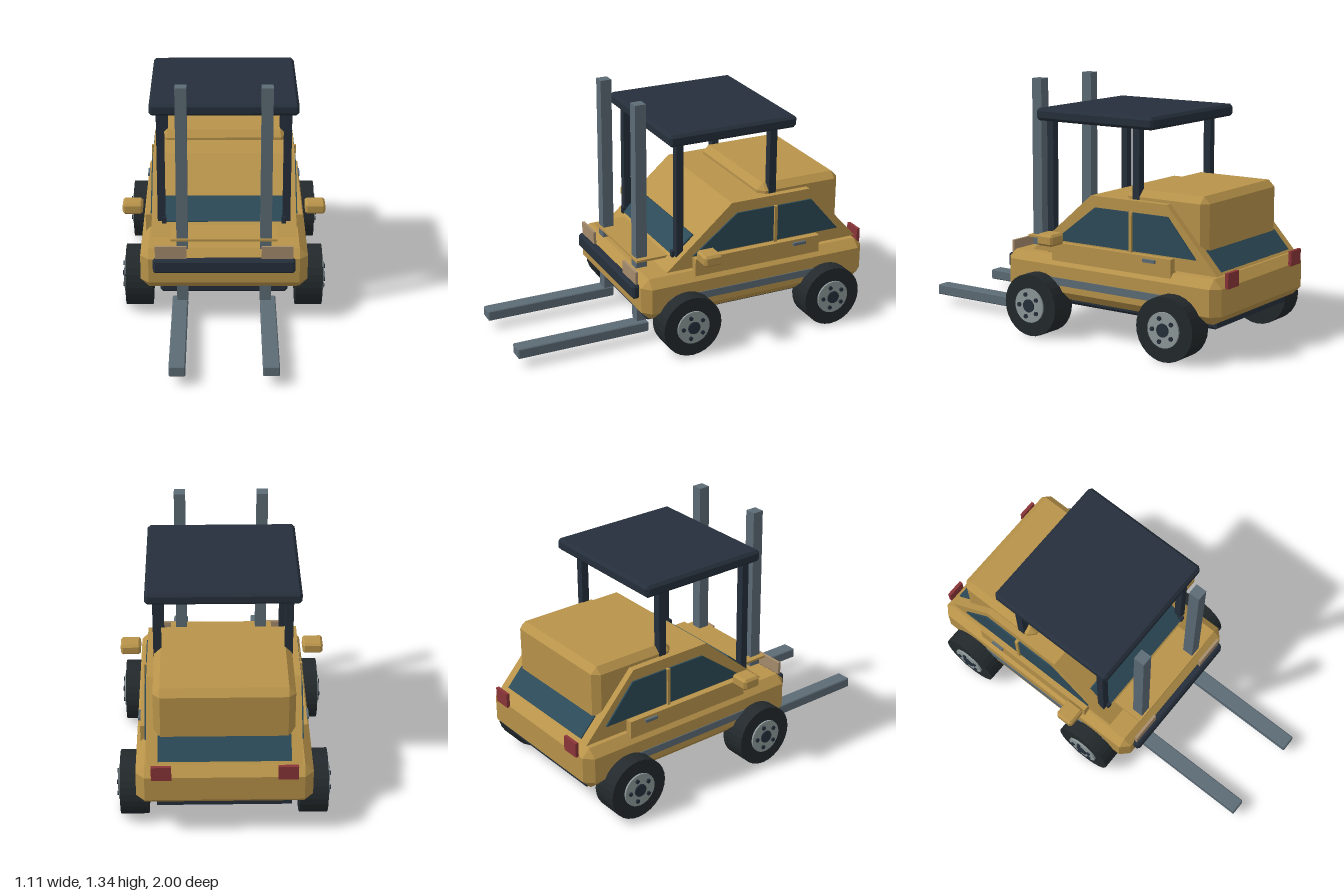
import * as THREE from 'three';
import { ConvexGeometry } from 'three/addons/geometries/ConvexGeometry.js';

const mat = (color, extra = {}) => new THREE.MeshStandardMaterial({ color, flatShading: true, ...extra });
const paint = mat(0xb8934a), dark = mat(0x252f3b), steel = mat(0x5c6b75), glass = mat(0x2c4a58),
  rubber = mat(0x23292c), rim = mat(0x8d9899), lamp = mat(0xa58b6c), red = mat(0x8a3538);

// Box between two corners, with all edges chamfered by c
function chamferBox(x0, x1, y0, y1, z0, z1, c) {
  const pts = [];
  const half = [(x1 - x0) / 2, (y1 - y0) / 2, (z1 - z0) / 2];
  const mid = [(x0 + x1) / 2, (y0 + y1) / 2, (z0 + z1) / 2];
  for (let face = 0; face < 3; face++)
    for (const sx of [-1, 1]) for (const sy of [-1, 1]) for (const sz of [-1, 1]) {
      const p = [sx, sy, sz].map((s, i) => mid[i] + s * (half[i] - (i === face ? 0 : c)));
      pts.push(new THREE.Vector3(...p));
    }
  return new ConvexGeometry(pts);
}

function box(x0, x1, y0, y1, z0, z1) {
  return new THREE.BoxGeometry(x1 - x0, y1 - y0, z1 - z0)
    .translate((x0 + x1) / 2, (y0 + y1) / 2, (z0 + z1) / 2);
}

// Side profile given as [z, y] points, extruded from x0 to x1
function sideProfile(points, x0, x1) {
  const shape = new THREE.Shape(points.map(([z, y]) => new THREE.Vector2(-z, y)));
  const g = new THREE.ExtrudeGeometry(shape, { depth: x1 - x0, bevelEnabled: false });
  return g.rotateY(Math.PI / 2).translate(x0, 0, 0);
}

function createWheel() {
  const wheel = new THREE.Group();
  const disc = (name, r, x0, x1, m, y = 0, z = 0, seg = 28) => {
    const g = new THREE.CylinderGeometry(r, r, x1 - x0, seg).rotateZ(Math.PI / 2);
    const mesh = new THREE.Mesh(g, m);
    mesh.name = name;
    mesh.position.set((x0 + x1) / 2, y, z);
    wheel.add(mesh);
  };
  disc('tire', 0.167, -0.073, 0.073, rubber);
  disc('rim', 0.092, 0.06, 0.083, rim);
  disc('hub', 0.035, 0.07, 0.09, dark, 0, 0, 16);
  for (let i = 0; i < 5; i++) {
    const a = i / 5 * Math.PI * 2;
    disc('wheelBolt', 0.012, 0.075, 0.092, dark, Math.sin(a) * 0.062, Math.cos(a) * 0.062, 6);
  }
  return wheel;
}

export function createModel() {
  const model = new THREE.Group();
  model.name = 'forkliftCar';
  const add = (name, geometry, material) => {
    const mesh = new THREE.Mesh(geometry, material);
    mesh.name = name;
    model.add(mesh);
    return mesh;
  };
  // Builds a part on both sides; make(a, b) gets the x range for each side
  const pair = (name, x0, x1, material, make) => {
    add(name + 'Left', make(x0, x1), material);
    add(name + 'Right', make(-x1, -x0), material);
  };

  // Lower body and undertray
  add('lowerBody', chamferBox(-0.45, 0.45, 0.2, 0.43, -0.985, 0.355, 0.045), paint);
  add('undertray', chamferBox(-0.345, 0.345, 0.155, 0.22, -0.92, 0.3, 0.015), dark);
  add('hoodPanel', box(-0.285, 0.285, 0.475, 0.487, 0.13, 0.325), paint);

  // Cabin with sloped front and back, and the rear cargo box
  add('cabin', sideProfile([[0.2, 0.44], [-0.18, 0.77], [-0.65, 0.77], [-0.95, 0.44]], -0.393, 0.393), paint);
  add('rearBox', chamferBox(-0.357, 0.357, 0.5, 0.82, -0.86, -0.365, 0.035), paint);

  // Windshield and rear window lie on the cabin slopes
  add('windshield', sideProfile([[0.135, 0.5], [0.14, 0.505], [0.025, 0.605], [0.015, 0.6]], -0.335, 0.335), glass);
  add('rearWindow', sideProfile([[-0.945, 0.455], [-0.855, 0.555], [-0.848, 0.55], [-0.935, 0.45]].reverse(),
    -0.337, 0.337), glass);

  // Side windows, pillars, doors, handles and trim strips
  const windowProfile = [[0.05, 0.51], [-0.21, 0.71], [-0.66, 0.71], [-0.83, 0.51]];
  pair('sideWindow', 0.385, 0.402, glass, (a, b) => sideProfile(windowProfile, a, b));
  pair('doorPillar', 0.39, 0.412, paint, (a, b) => box(a, b, 0.505, 0.712, -0.448, -0.43));
  pair('door', 0.385, 0.43, paint, (a, b) => box(a, b, 0.4, 0.502, -0.7, 0.05));
  pair('doorHandle', 0.425, 0.443, steel, (a, b) => box(a, b, 0.472, 0.488, -0.61, -0.535));
  pair('sideTrim', 0.44, 0.455, steel, (a, b) => box(a, b, 0.28, 0.32, -0.71, 0.2));
  pair('mirror', 0.445, 0.555, paint, (a, b) => chamferBox(a, b, 0.505, 0.567, -0.047, 0.057, 0.012));

  // Bumper and lamps
  add('frontBumper', chamferBox(-0.38, 0.38, 0.315, 0.395, 0.345, 0.392, 0.012), dark);
  pair('headlight', 0.2, 0.368, lamp, (a, b) => box(a, b, 0.395, 0.465, 0.355, 0.37));
  pair('taillight', 0.268, 0.37, red, (a, b) => box(a, b, 0.38, 0.46, -1, -0.982));
  add('rearBumper', box(-0.345, 0.345, 0.165, 0.21, -0.925, -0.9), dark);

  // Overhead guard on four posts
  add('overheadGuard', chamferBox(-0.395, 0.395, 1.135, 1.2, -0.56, 0.182, 0.015), dark);
  pair('frontGuardPost', 0.318, 0.36, dark, (a, b) => box(a, b, 0.43, 1.15, 0.09, 0.13));
  pair('frontPostFoot', 0.312, 0.337, dark, (a, b) => box(a, b, 0.495, 0.53, 0.09, 0.145));
  pair('rearGuardPost', 0.318, 0.36, dark, (a, b) => box(a, b, 0.75, 1.15, -0.46, -0.418));

  // Lifting mast and forks
  pair('mastRail', 0.193, 0.254, steel, (a, b) => box(a, b, 0.115, 1.34, 0.252, 0.314));
  pair('fork', 0.196, 0.28, steel, (a, b) => chamferBox(a, b, 0.055, 0.112, 0.255, 1, 0.005));

  // Wheels
  for (const side of [1, -1]) for (const [end, z] of [['front', 0.115], ['rear', -0.733]]) {
    const wheel = createWheel();
    wheel.name = end + 'Wheel' + (side > 0 ? 'Left' : 'Right');
    wheel.position.set(side * 0.463, 0.17, z);
    if (side < 0) wheel.rotation.y = Math.PI;
    model.add(wheel);
  }
  return model;
}
